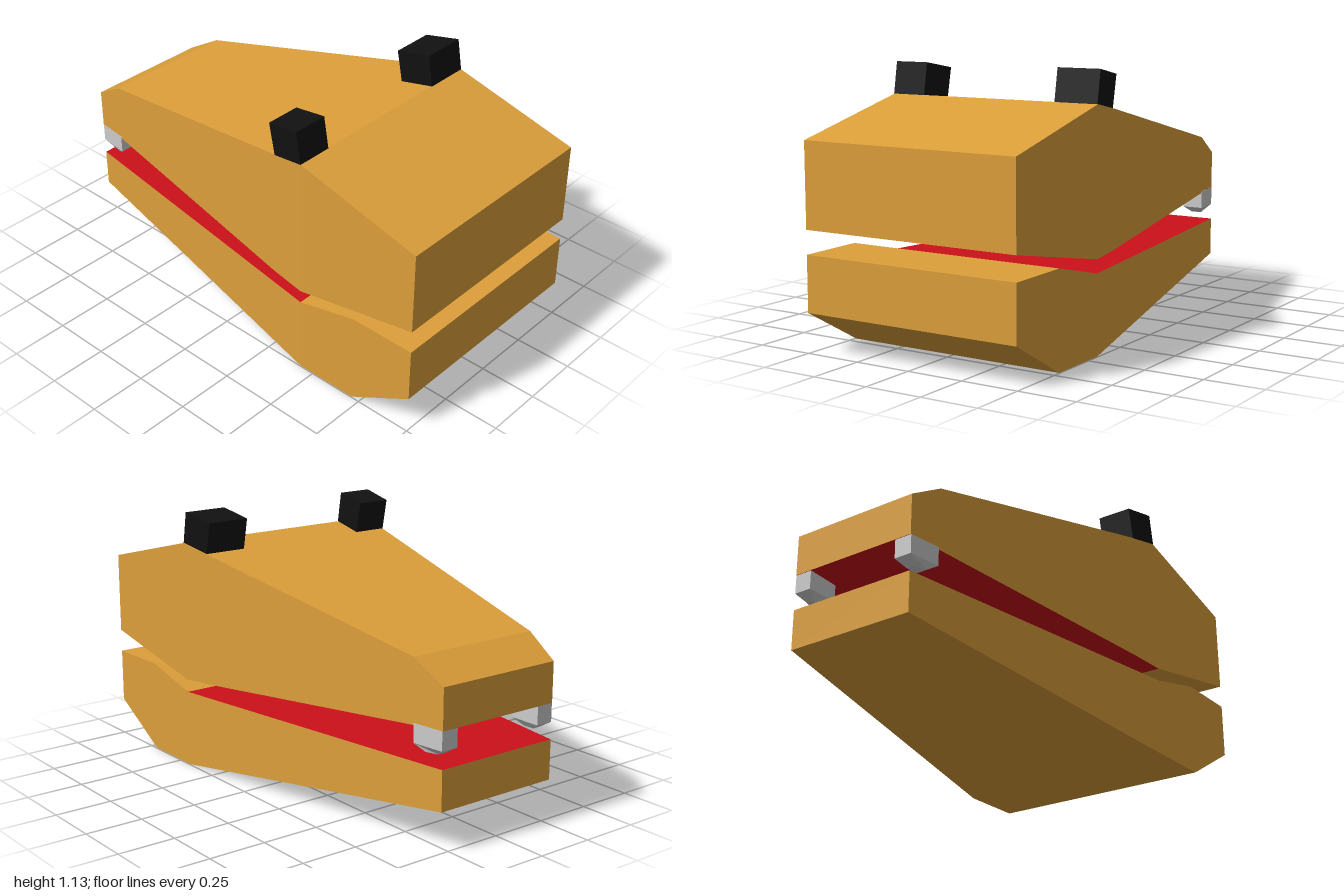
import * as THREE from 'three';

const material = (color) => new THREE.MeshStandardMaterial({ color, flatShading: true });

// Skins four-cornered sections; keep(span, side) picks the side faces (0 bottom, 1 left, 2 top, 3 right).
function loft(name, mat, sections, keep = () => true, caps = true) {
  const pos = [];
  const quad = (a, b, c, d) => pos.push(...a, ...b, ...c, ...a, ...c, ...d);
  for (let i = 0; i < sections.length - 1; i++) {
    const s = sections[i], t = sections[i + 1];
    for (let j = 0; j < 4; j++) {
      const k = (j + 1) % 4;
      if (keep(i, j)) quad(s[j], t[j], t[k], s[k]);
    }
  }
  if (caps) {
    quad(...sections[0]);
    quad(...[...sections[sections.length - 1]].reverse());
  }
  const geo = new THREE.BufferGeometry();
  geo.setAttribute('position', new THREE.Float32BufferAttribute(pos, 3));
  geo.computeVertexNormals();
  const mesh = new THREE.Mesh(geo, mat);
  mesh.name = name;
  return mesh;
}

// Upright jaw section: [z, half width, bottom, top]
const jawSection = ([z, w, y0, y1]) => [[-w, y0, z], [w, y0, z], [w, y1, z], [-w, y1, z]];

export function createModel() {
  const group = new THREE.Group();
  group.name = 'crocodileHead';
  const hide = material(0xdd9f3a);
  const mouth = material(0xcc1019);
  const black = material(0x111111);
  const bone = material(0xcccccc);

  // Jaws, skin and mouth lining split along the crease at z = 0.43
  const upper = [
    [1, 0.497, 0.5, 0.855],
    [0.43, 0.497, 0.392, 1.0],
    [0.27, 0.479, 0.402, 0.97],
    [-0.85, 0.306, 0.478, 0.745],
    [-1, 0.288, 0.487, 0.658],
  ].map(jawSection);
  const lower = [
    [1, 0.497, 0.165, 0.4],
    [0.71, 0.497, 0, 0.403],
    [0.43, 0.497, 0, 0.336],
    [-1, 0.288, 0.167, 0.336],
  ].map(jawSection);
  const palate = (i, j) => i >= 1 && j === 0;
  const tongue = (i, j) => i >= 2 && j === 2;
  group.add(
    loft('upperJaw', hide, upper, (i, j) => !palate(i, j)),
    loft('palate', mouth, upper, palate, false),
    loft('lowerJaw', hide, lower, (i, j) => !tongue(i, j)),
    loft('mouthFloor', mouth, lower, tongue, false),
  );

  // Eyes, tilted with the snout; the right one is a little narrower
  const eye = (name, front, back) => loft(name, black, [
    [[front[0], 1.0, 0.433], [front[1], 1.0, 0.433], [front[1], 1.135, 0.41], [front[0], 1.135, 0.41]],
    [[back[0], 0.972, 0.283], [back[1], 0.972, 0.283], [back[1], 1.107, 0.256], [back[0], 1.107, 0.256]],
  ]);
  group.add(
    eye('rightEye', [-0.498, -0.34], [-0.483, -0.33]),
    eye('leftEye', [0.3, 0.496], [0.288, 0.478]),
  );

  // Fangs under the snout tip, with a bevelled point
  for (const side of [-1, 1]) {
    const section = (y, inset) => {
      const [a, b] = [0.212 + inset, 0.289 - inset];
      const span = (grow) => [side * a, side * (b + grow)].sort((p, q) => p - q);
      const f = span(0.018), r = span(0);
      const zf = -0.857 - inset * 2, zr = -0.998 + inset * 2;
      return [[f[0], y, zf], [f[1], y, zf], [r[1], y, zr], [r[0], y, zr]];
    };
    group.add(loft(side > 0 ? 'leftFang' : 'rightFang', bone,
      [section(0.487, 0), section(0.408, 0), section(0.38, 0.022)]));
  }
  return group;
}
